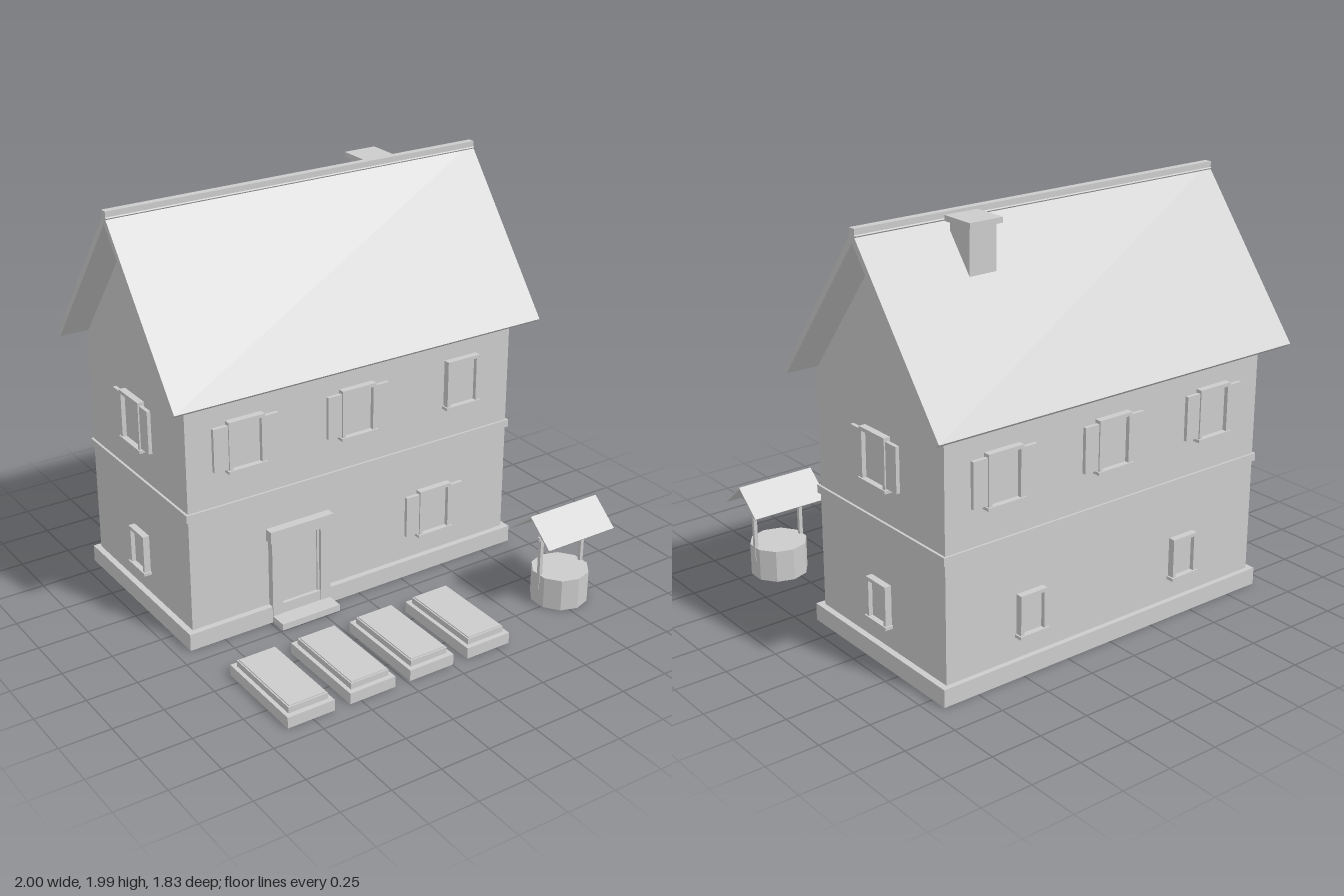
import * as THREE from 'three';

const stone = new THREE.MeshStandardMaterial({ color: 0xcccccc });
stone.name = 'light grey';

// wall outline: half width in x, front and back in z
const WX = 0.9, ZF = 0.13, ZB = -0.81, ZC = (ZF + ZB) / 2, EAVE = 1.235;

function add(parent, name, geometry) {
  const mesh = new THREE.Mesh(geometry, stone);
  mesh.name = name;
  parent.add(mesh);
  return mesh;
}

// box given by its limits on each axis
function block(parent, name, x0, x1, y0, y1, z0, z1) {
  const mesh = add(parent, name, new THREE.BoxGeometry(x1 - x0, y1 - y0, z1 - z0));
  mesh.position.set((x0 + x1) / 2, (y0 + y1) / 2, (z0 + z1) / 2);
  return mesh;
}

function group(parent, name) {
  const g = new THREE.Group();
  g.name = name;
  parent.add(g);
  return g;
}

// sloping slab whose upper surface runs from the eave to the ridge, for side = +1 (front) or -1 (back)
function roofSlab(parent, name, length, run, eaveY, ridgeY, thick, side) {
  const rise = ridgeY - eaveY;
  const angle = Math.atan2(rise, run);
  const slab = add(parent, name, new THREE.BoxGeometry(length, thick, Math.hypot(run, rise)));
  slab.rotation.x = side * angle;
  slab.position.set(0, (eaveY + ridgeY) / 2 - thick / 2 * Math.cos(angle),
    side * (run / 2 - thick / 2 * Math.sin(angle)));
  return slab;
}

// window on the local plane z = 0, facing +z, standing on its sill at y = 0
function makeWindow(parent, w, h, shutters) {
  const g = group(parent, shutters ? 'shutteredWindow' : 'window');
  const f = 0.017, d = 0.033;
  for (const s of [-1, 1]) {
    const edge = s * (w / 2 - f / 2);
    block(g, 'frameSide', edge - f / 2, edge + f / 2, 0, h, -0.01, d);
    if (shutters) {
      const c = s * (w / 2 + 0.037);
      block(g, 'shutter', c - 0.038, c + 0.038, 0.006, h - 0.016, 0.008, 0.026);
    }
  }
  block(g, 'frameTop', -w / 2 + f, w / 2 - f, h - f, h, -0.01, d);
  block(g, 'pane', -w / 2 + f, w / 2 - f, 0, h - f, -0.01, 0.012);
  block(g, 'sill', -w / 2 - 0.008, w / 2 + 0.008, -0.015, 0, -0.01, d + 0.007);
  return g;
}
const largeWindow = (parent, shutters = true) => makeWindow(parent, 0.186, 0.235, shutters);
const smallWindow = (parent) => makeWindow(parent, 0.146, 0.19, false);

function buildWalls(parent) {
  const g = group(parent, 'walls');
  block(g, 'plinth', -0.93, 0.93, 0, 0.085, ZB - 0.025, ZF + 0.03);
  block(g, 'lowerWall', -WX, WX, 0.085, 0.645, ZB, ZF);
  block(g, 'floorBand', -WX - 0.012, WX + 0.012, 0.647, 0.685, ZB - 0.01, ZF + 0.01);
  block(g, 'upperWall', -WX, WX, 0.645, EAVE, ZB, ZF);

  // triangular attic
  const shape = new THREE.Shape([
    new THREE.Vector2(-0.47, 0), new THREE.Vector2(0.47, 0), new THREE.Vector2(0, 0.6)]);
  const gable = new THREE.ExtrudeGeometry(shape, { depth: 2 * WX, bevelEnabled: false });
  gable.translate(0, 0, -WX).rotateY(Math.PI / 2);
  add(g, 'attic', gable).position.set(0, EAVE, ZC);
}

function buildRoof(parent) {
  const g = group(parent, 'roof');
  g.position.z = ZC;
  for (const s of [-1, 1]) roofSlab(g, 'roofSlope', 2, 0.575, 1.235, 1.975, 0.03, s);
  block(g, 'ridgeCap', -1, 1, 1.955, 1.988, -0.018, 0.018);

  const c = group(parent, 'chimney');
  block(c, 'chimneyShaft', 0.405, 0.545, 1.42, 1.953, -0.52, -0.388);
  block(c, 'chimneyCap', 0.388, 0.56, 1.953, 1.978, -0.543, -0.37);
}

function buildWindows(parent) {
  const upper = 0.86, lower = 0.205;
  for (const x of [-0.604, 0, 0.604]) {
    largeWindow(parent, x < 0.5).position.set(x, upper, ZF);
    const back = largeWindow(parent);
    back.position.set(x, upper, ZB);
    back.rotation.y = Math.PI;
  }
  largeWindow(parent).position.set(0.454, 0.21, ZF);
  for (const s of [-1, 1]) {
    const back = smallWindow(parent);
    back.position.set(s * 0.45, lower, ZB);
    back.rotation.y = Math.PI;
    for (const [w, y] of [[largeWindow(parent), upper], [smallWindow(parent), lower]]) {
      w.position.set(s * WX, y, ZC);
      w.rotation.y = s * Math.PI / 2;
    }
  }
}

function buildDoor(parent) {
  const g = group(parent, 'entrance');
  g.position.x = -0.327;
  for (const s of [-1, 1]) {
    const c = s * 0.134;
    block(g, 'doorJamb', c - 0.027, c + 0.027, 0.035, 0.43, ZF - 0.01, 0.165);
    block(g, 'doorFrame', s * 0.102 - 0.006, s * 0.102 + 0.006, 0.085, 0.43, ZF - 0.01, 0.15);
  }
  block(g, 'doorFrameTop', -0.096, 0.096, 0.418, 0.43, ZF - 0.01, 0.15);
  block(g, 'door', -0.096, 0.096, 0.085, 0.418, ZF - 0.01, 0.142);
  block(g, 'lintel', -0.172, 0.172, 0.43, 0.49, ZF - 0.01, 0.175);
  block(g, 'doorStep', -0.16, 0.16, 0, 0.033, 0.13, 0.248);
}

// raised beds in a row before the house
function buildBeds(parent) {
  for (let i = 0; i < 4; i++) {
    const g = group(parent, 'gardenBed');
    g.position.set(-0.757 + i * 0.321, 0, 0.672);
    block(g, 'bedBase', -0.12, 0.12, 0, 0.055, -0.242, 0.242);
    block(g, 'bedTop', -0.1, 0.1, 0.055, 0.085, -0.217, 0.217);
    block(g, 'bedSurface', -0.093, 0.093, 0.085, 0.09, -0.21, 0.21);
  }
}

function buildWell(parent) {
  const g = group(parent, 'well');
  g.position.set(0.792, 0, 0.718);
  const basin = new THREE.CylinderGeometry(0.14, 0.14, 0.16, 10).toNonIndexed();
  basin.computeVertexNormals();
  add(g, 'wellBasin', basin).position.y = 0.08;
  for (const s of [-1, 1]) {
    block(g, 'wellPost', s * 0.127 - 0.009, s * 0.127 + 0.009, 0.085, 0.37, -0.009, 0.009);
    roofSlab(g, 'wellRoof', 0.4, 0.141, 0.375, 0.492, 0.008, s);
  }
  block(g, 'wellBeam', -0.145, 0.145, 0.345, 0.363, -0.008, 0.008);
}

export function createModel() {
  const model = new THREE.Group();
  model.name = 'house';
  buildWalls(model);
  buildRoof(model);
  buildWindows(model);
  buildDoor(model);
  buildBeds(model);
  buildWell(model);
  return model;
}
